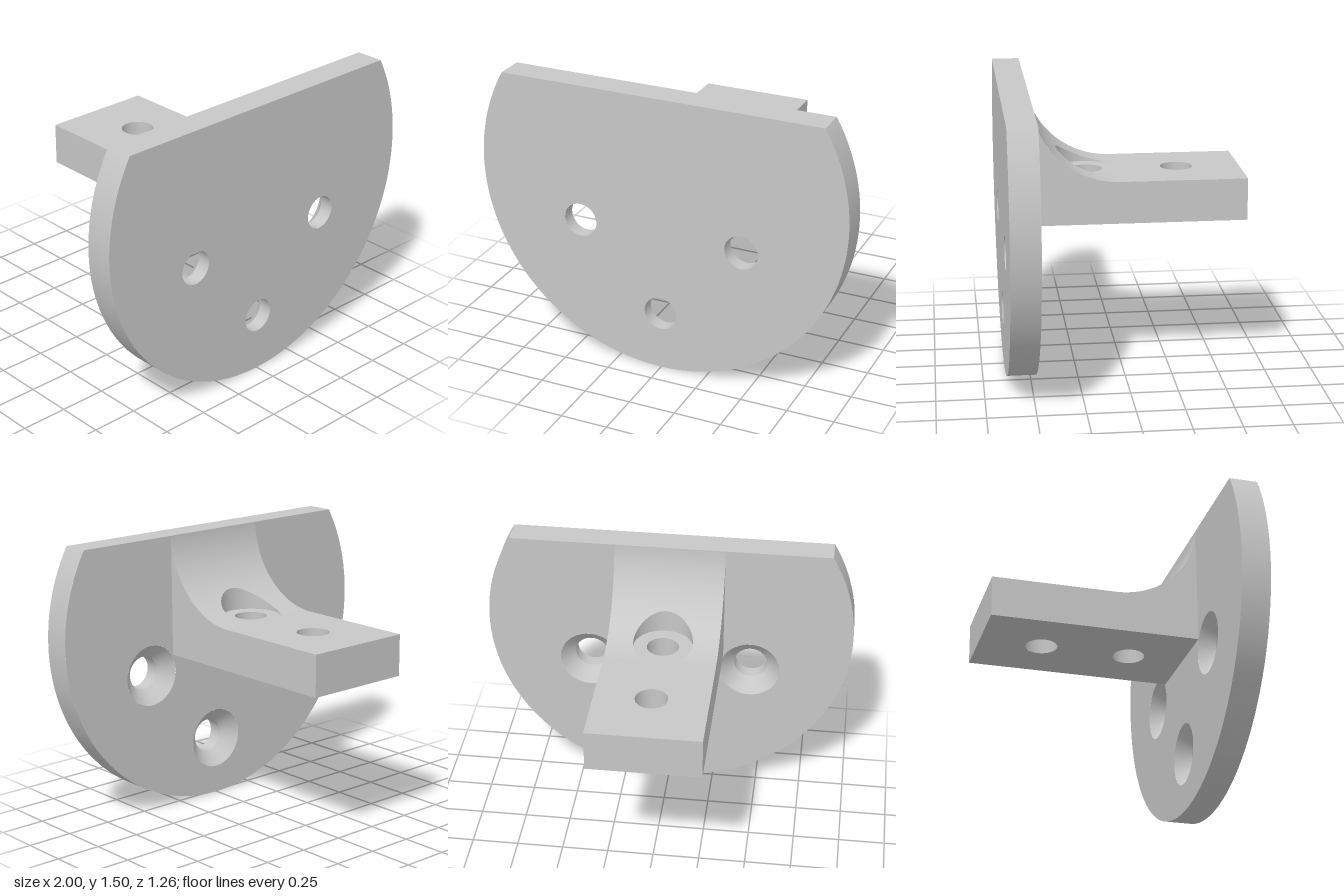
import * as THREE from 'three';

const TOP = 1.502, FRONT = 0.63, BACK = 0.48;             // plate
const HALF = 0.297, FLOOR = 0.852, DECK = 1.073, END = -0.63; // arm
const FILLET = 0.45, FILLET_Y = DECK + FILLET;
const FILLET_END = Math.asin((TOP - FILLET_Y) / FILLET);
const FILLET_Z = BACK - FILLET * Math.cos(FILLET_END);
const BORE = 0.158, BORE_Z = 0.182, ARM_HOLE = 0.085, ARM_HOLES = [BORE_Z, -0.298];
const SCREW = 0.09, SINK = 0.165, SINK_Z = BACK + 0.075;
const SCREWS = [[-0.445, 0.762], [0.445, 0.762], [0, 0.317]];

export function createModel() {
  const model = new THREE.Group();
  const grey = new THREE.MeshStandardMaterial({ color: 0xc7c7c7 });
  grey.name = 'lightGrey';
  const group = (name) => {
    const g = new THREE.Group();
    g.name = name;
    model.add(g);
    return g;
  };
  const add = (parent, name, geometry) => {
    const mesh = new THREE.Mesh(geometry, grey);
    mesh.name = name;
    parent.add(mesh);
  };
  const circle = (x, y, r) => new THREE.Path().absarc(x, y, r, 0, Math.PI * 2, true);
  // Inward facing wall of a hole, running from (r0, y0) down to (r1, y1)
  const holeWall = (r0, y0, r1, y1) =>
    new THREE.LatheGeometry([new THREE.Vector2(r0, y0), new THREE.Vector2(r1, y1)], 48);

  // Round mounting plate with a flat top
  const plate = group('mountingPlate');
  const cut = Math.asin(TOP - 1);
  const plateFace = (holeRadius) => {
    const s = new THREE.Shape().absarc(0, 1, 1, Math.PI - cut, Math.PI * 2 + cut, false);
    s.holes = SCREWS.map(([x, y]) => circle(x, y, holeRadius));
    return new THREE.ShapeGeometry(s, 64);
  };
  add(plate, 'plateFront', plateFace(SCREW).translate(0, 0, FRONT));
  add(plate, 'plateBack', plateFace(SINK).rotateY(Math.PI).translate(0, 0, BACK));
  const rim = [new THREE.Vector2(1, BACK), new THREE.Vector2(1, FRONT)];
  add(plate, 'plateRim', new THREE.LatheGeometry(rim, 96, -Math.PI / 2 - cut, Math.PI + 2 * cut)
    .rotateX(Math.PI / 2).translate(0, 1, 0));
  add(plate, 'plateTop', new THREE.PlaneGeometry(2 * Math.cos(cut), FRONT - BACK)
    .rotateX(-Math.PI / 2).translate(0, TOP, (FRONT + BACK) / 2));

  // Screw holes, countersunk from the back
  for (const [x, y] of SCREWS) {
    add(plate, 'screwHole', holeWall(SCREW, FRONT, SCREW, SINK_Z).rotateX(Math.PI / 2).translate(x, y, 0));
    add(plate, 'countersink', holeWall(SCREW, SINK_Z, SINK, BACK).rotateX(Math.PI / 2).translate(x, y, 0));
  }

  // Arm: mirrored side profiles with the fillet curve
  const arm = group('arm');
  for (const side of [1, -1]) {
    const s = new THREE.Shape();
    s.moveTo(BACK, FLOOR);
    s.lineTo(END, FLOOR);
    s.lineTo(END, DECK);
    s.lineTo(FILLET_Z, DECK);
    s.absarc(FILLET_Z, FILLET_Y, FILLET, -Math.PI / 2, FILLET_END, false);
    const g = new THREE.ShapeGeometry(s, 32);
    if (side > 0) {
      // Flip the winding so this profile faces +x
      const index = g.index.array;
      for (let i = 0; i < index.length; i += 3) [index[i], index[i + 1]] = [index[i + 1], index[i]];
    }
    g.rotateY(-Math.PI / 2).translate(side * HALF, 0, 0);
    g.computeVertexNormals();
    add(arm, 'armSide', g);
  }

  // Arm deck, underside and end
  const slabFace = (dir) => {
    const s = new THREE.Shape([[-HALF, END], [HALF, END], [HALF, BACK], [-HALF, BACK]]
      .map(([x, z]) => new THREE.Vector2(x, dir * z)));
    s.holes = ARM_HOLES.map((z) => circle(0, dir * z, ARM_HOLE));
    return new THREE.ShapeGeometry(s, 48).rotateX(dir * Math.PI / 2);
  };
  add(arm, 'armDeck', slabFace(-1).translate(0, DECK, 0));
  add(arm, 'armUnderside', slabFace(1).translate(0, FLOOR, 0));
  add(arm, 'armEnd', new THREE.PlaneGeometry(2 * HALF, DECK - FLOOR)
    .rotateY(Math.PI).translate(0, (DECK + FLOOR) / 2, END));
  for (const z of ARM_HOLES) {
    add(arm, 'armHole', holeWall(ARM_HOLE, DECK, ARM_HOLE, FLOOR).translate(0, 0, z));
  }

  // Rows along the fillet: even steps round the bore, then round the arc
  const rows = [];
  const a0 = Math.acos((BORE_Z - FILLET_Z) / BORE);
  for (let i = 0; i <= 32; i++) rows.push(BORE_Z - BORE * Math.cos(a0 + (Math.PI - a0) * i / 32));
  const b0 = Math.asin((BORE_Z + BORE - FILLET_Z) / FILLET);
  const b1 = Math.PI / 2 + FILLET_END;
  for (let i = 1; i <= 16; i++) rows.push(FILLET_Z + FILLET * Math.sin(b0 + (b1 - b0) * i / 16));
  const height = (z) => FILLET_Y - Math.sqrt(FILLET ** 2 - (z - FILLET_Z) ** 2);
  const chord = (z) => Math.sqrt(Math.max(0, BORE ** 2 - (z - BORE_Z) ** 2));

  // Strip between two edge points per row, with one normal per row
  const strip = (zs, edges, normal, flip) => {
    const position = [], normals = [], index = [];
    zs.forEach((z, i) => {
      for (const p of edges(z)) {
        position.push(...p);
        normals.push(...normal(z));
      }
      if (i === 0) return;
      const a = 2 * i - 2, b = a + 1, c = a + 2, d = a + 3;
      index.push(...(flip ? [a, b, c, b, d, c] : [a, c, b, b, c, d]));
    });
    const g = new THREE.BufferGeometry();
    g.setAttribute('position', new THREE.Float32BufferAttribute(position, 3));
    g.setAttribute('normal', new THREE.Float32BufferAttribute(normals, 3));
    g.setIndex(index);
    return g;
  };
  for (const s of [1, -1]) {
    add(arm, 'fillet', strip(rows,
      (z) => [[s * chord(z), height(z), z], [s * HALF, height(z), z]],
      (z) => [0, (FILLET_Y - height(z)) / FILLET, (FILLET_Z - z) / FILLET], s < 0));
    // Wall of the flat-bottomed bore cut into the fillet
    add(arm, 'boreWall', strip(rows.slice(0, 33),
      (z) => [[s * chord(z), DECK, z], [s * chord(z), height(z), z]],
      (z) => [-s * chord(z) / BORE, 0, (BORE_Z - z) / BORE], s < 0));
  }
  return model;
}
